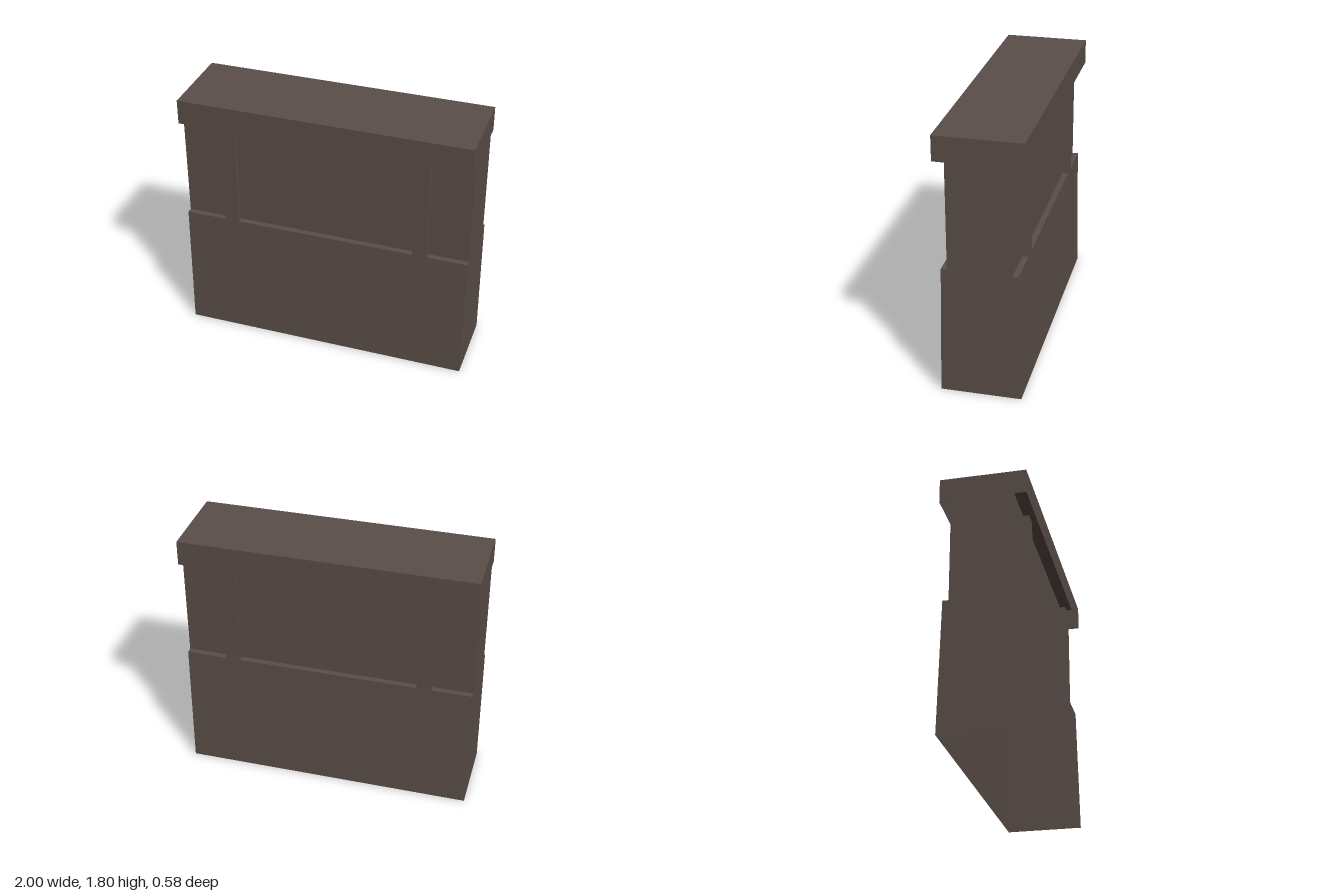
import * as THREE from 'three';

// Heights and half depths of the wall section
const LEDGE = 0.9, CAP = 1.63, TOP = 1.8;
const BASE_Z = 0.27, WALL_Z = 0.25, PANEL_Z = 0.21, CAP_Z = 0.29;
const PIL_IN = 0.62, PIL_OUT = 0.72;

const stone = new THREE.MeshStandardMaterial({ color: 0x5a4e49, side: THREE.DoubleSide });
stone.name = 'dark stone';

// Flat four-cornered face, corners counter-clockwise seen from outside
function quad(name, a, b, c, d) {
  const g = new THREE.BufferGeometry();
  g.setAttribute('position', new THREE.Float32BufferAttribute([...a, ...b, ...c, ...d], 3));
  g.setIndex([0, 1, 2, 0, 2, 3]);
  g.computeVertexNormals();
  const m = new THREE.Mesh(g, stone);
  m.name = name;
  return m;
}

// Face spanning x0..x1, running up from (y0, z0) to (y1, z1)
const strip = (name, x0, x1, y0, z0, y1, z1) =>
  quad(name, [x0, y0, z0], [x1, y0, z0], [x1, y1, z1], [x0, y1, z1]);

// One long face of the wall, with recessed panels and two pilasters
function createFace() {
  const face = new THREE.Group();
  face.add(strip('slopedBase', -1, 1, 0, BASE_Z, LEDGE, WALL_Z));
  face.add(strip('capFascia', -1, 1, CAP, CAP_Z, TOP, CAP_Z));
  for (const [x0, x1] of [[-1, -PIL_OUT], [-PIL_IN, PIL_IN], [PIL_OUT, 1]]) {
    face.add(strip('recessedPanel', x0, x1, LEDGE, PANEL_Z, CAP, PANEL_Z));
    face.add(strip('panelLedge', x0, x1, LEDGE, WALL_Z, LEDGE, PANEL_Z));
  }
  for (const [x0, x1] of [[-PIL_OUT, -PIL_IN], [PIL_IN, PIL_OUT]]) {
    face.add(strip('pilasterFront', x0, x1, LEDGE, WALL_Z, CAP, WALL_Z));
    face.add(quad('pilasterLeftSide', [x1, LEDGE, WALL_Z], [x1, LEDGE, PANEL_Z],
      [x1, CAP, PANEL_Z], [x1, CAP, WALL_Z]));
    face.add(quad('pilasterRightSide', [x0, LEDGE, PANEL_Z], [x0, LEDGE, WALL_Z],
      [x0, CAP, WALL_Z], [x0, CAP, PANEL_Z]));
  }
  return face;
}

export function createModel() {
  const model = new THREE.Group();
  model.name = 'wallSegment';

  // Matching front and back
  ['frontFace', 'backFace'].forEach((name, i) => {
    const face = createFace();
    face.name = name;
    face.rotation.y = i * Math.PI;
    model.add(face);
  });

  // Top of the cap; the shell is open underneath
  model.add(strip('capTop', -1, 1, TOP, CAP_Z, TOP, -CAP_Z));

  // End walls follow the whole section
  const half = [[BASE_Z, 0], [WALL_Z, LEDGE], [PANEL_Z, LEDGE], [PANEL_Z, CAP], [CAP_Z, CAP], [CAP_Z, TOP]];
  const outline = [...half, ...half.map(([z, y]) => [-z, y]).reverse()];
  const section = new THREE.Shape(outline.map(([z, y]) => new THREE.Vector2(z, y)));
  for (const s of [-1, 1]) {
    const end = new THREE.Mesh(new THREE.ShapeGeometry(section), stone);
    end.name = s > 0 ? 'leftEnd' : 'rightEnd';
    end.rotation.y = s * Math.PI / 2;
    end.position.x = s;
    model.add(end);
  }
  return model;
}
